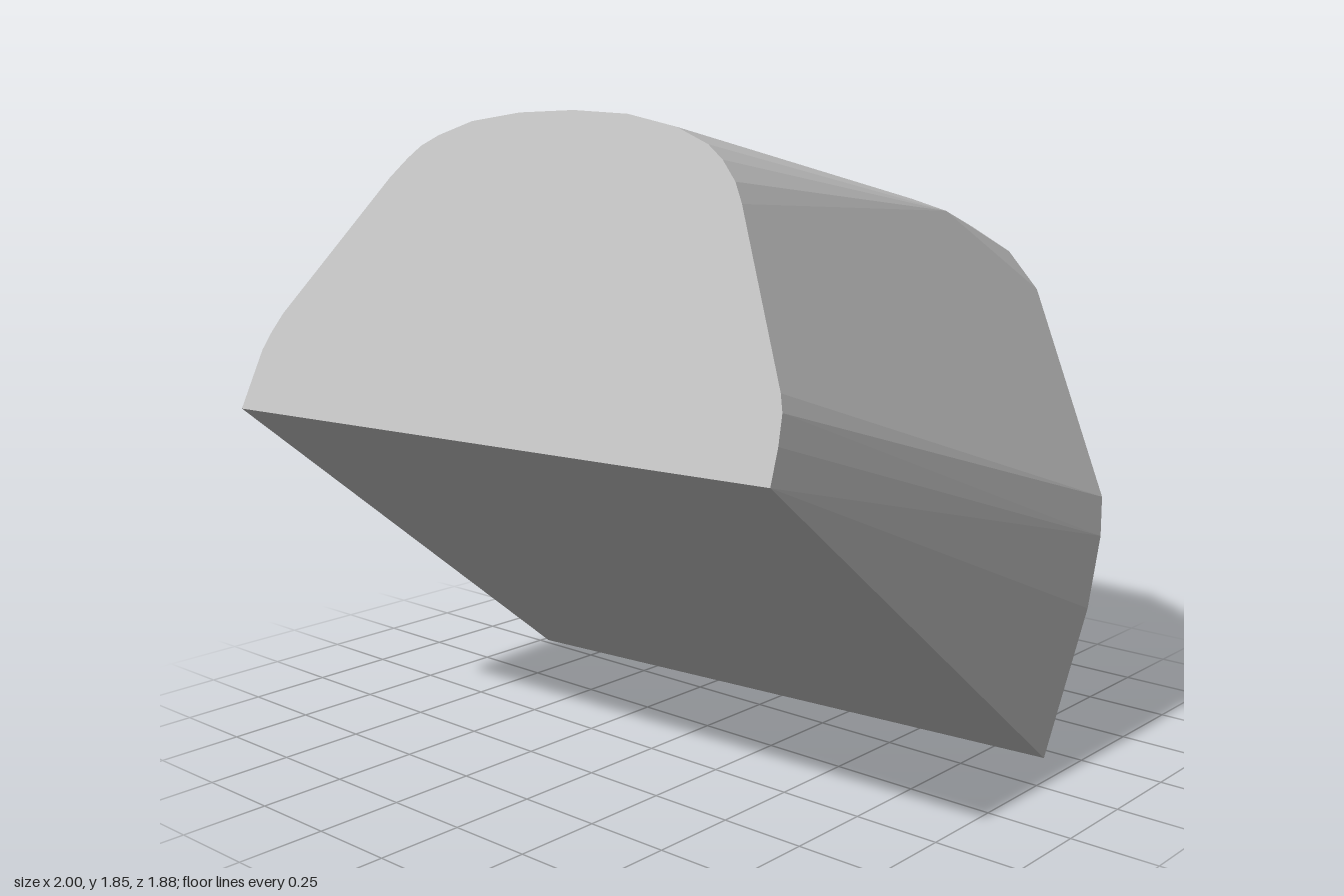
import * as THREE from 'three';
import { ConvexGeometry } from 'three/addons/geometries/ConvexGeometry.js';

// Arched outlines [x, y] of the two tilted end faces, from -x over the top to +x
const frontOutline = [
  [-0.975, 0.995], [-0.97, 1.16], [-0.955, 1.21], [-0.93, 1.265], [-0.65, 1.66],
  [-0.6, 1.715], [-0.56, 1.75], [-0.5, 1.78], [-0.38, 1.82], [-0.2, 1.845], [0, 1.853],
  [0.2, 1.845], [0.38, 1.815], [0.5, 1.775], [0.56, 1.74], [0.62, 1.69], [0.66, 1.64],
  [0.93, 1.24], [0.95, 1.2], [0.965, 1.13], [0.975, 1.045],
];
const backOutline = [
  [-0.98, 0], [-1, 0.55], [-0.98, 0.74], [-0.94, 0.81], [-0.6, 1.306], [-0.42, 1.447],
  [-0.22, 1.48], [0, 1.49], [0.3, 1.475], [0.45, 1.41], [0.58, 1.305], [0.96, 0.753],
  [0.985, 0.65], [1, 0.457], [0.98, 0.055],
];
// Crest where the roof breaks down towards the back
const crest = [
  [-0.52, 1.555, -0.44], [-0.2, 1.578, -0.67], [0, 1.582, -0.68],
  [0.27, 1.578, -0.64], [0.5, 1.56, -0.48],
];

// Lays an outline on the plane z = a + b x + c y
const onPlane = (outline, a, b, c) =>
  outline.map(([x, y]) => new THREE.Vector3(x, y, a + b * x + c * y));

export function createModel() {
  const group = new THREE.Group();
  group.name = 'archedBlock';
  const grey = new THREE.MeshStandardMaterial({ color: 0xc0c0c0 });
  grey.name = 'grey';

  // Faceted solid spanning both end faces and the crest
  const points = [
    ...onPlane(frontOutline, 1.397, -0.006, -0.465),
    ...onPlane(backOutline, -0.283, -0.013, -0.444),
    ...crest.map((p) => new THREE.Vector3(...p)),
  ];
  const block = new THREE.Mesh(new ConvexGeometry(points), grey);
  block.name = 'block';
  group.add(block);
  return group;
}
